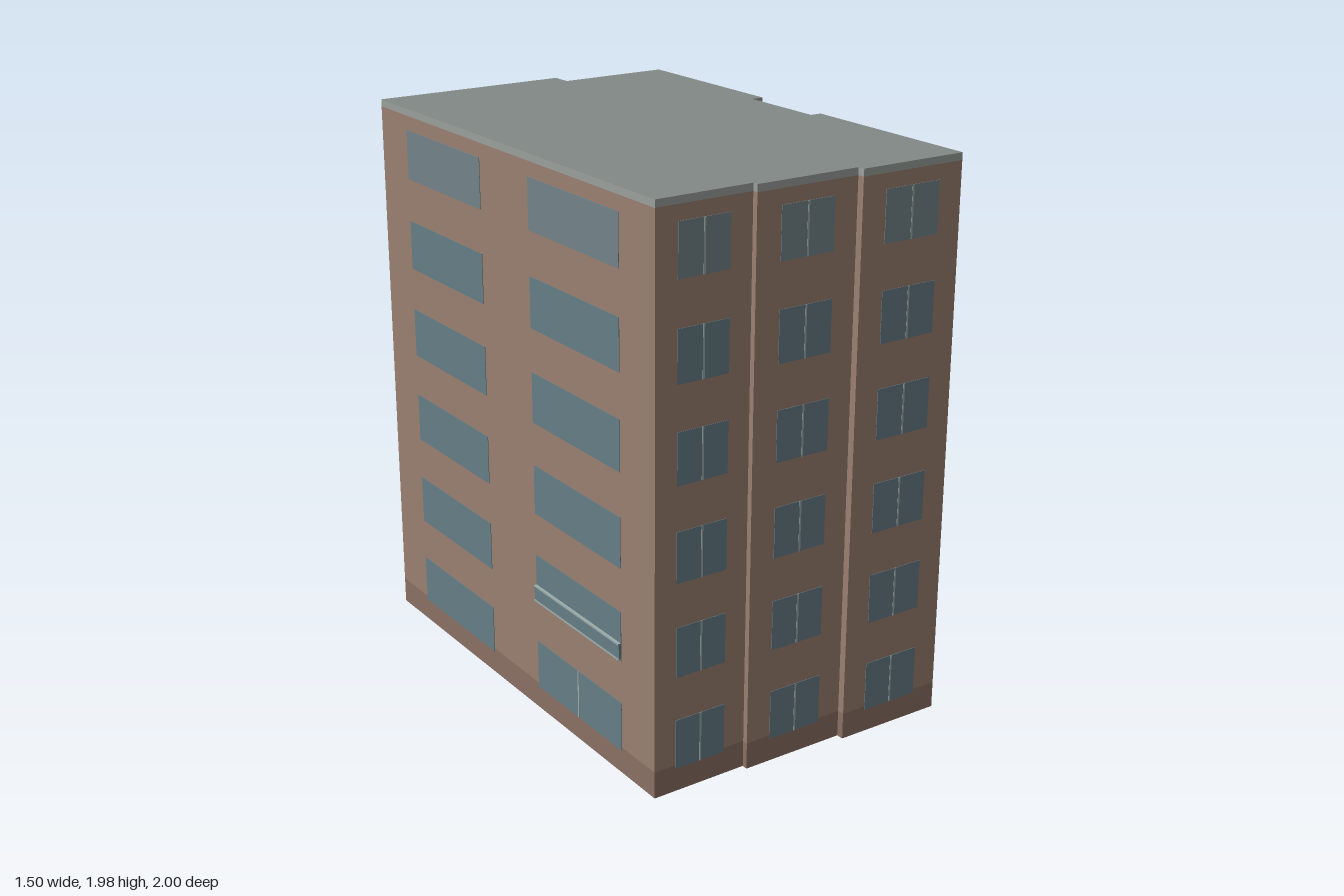
import * as THREE from 'three';

const mat = (color) => new THREE.MeshStandardMaterial({ color });
const M = {
  wall: mat(0x9a7f70), plinth: mat(0x8a6f62), trim: mat(0x9aa09c), roof: mat(0x828986),
  glass: mat(0x667d86), topGlass: mat(0x738489), frame: mat(0x9cacaa),
};

// Footprint corners as [x, z]: front, right, back, then left side
const P = [
  [-0.75, 0.69], [-0.405, 0.77], [-0.41, 0.79], [-0.035, 0.88], [-0.04, 0.905],
  [0.35, 1.0], [0.515, 0.305], [0.475, 0.295], [0.55, -0.03], [0.595, -0.02],
  [0.745, -0.66], [0.34, -0.755], [0.357, -0.83], [-0.35, -1.0],
];
const FLOORS = 6, PITCH = 0.329, SILL = 0.083, WIN_H = 0.176;

// Horizontal slice of the building between two heights
function slab(name, y0, y1, side, cap = side) {
  const shape = new THREE.Shape(P.map(([x, z]) => new THREE.Vector2(x, -z)));
  const geo = new THREE.ExtrudeGeometry(shape, { depth: y1 - y0, bevelEnabled: false });
  geo.rotateX(-Math.PI / 2).translate(0, y0, 0);
  const mesh = new THREE.Mesh(geo, [cap, side]);
  mesh.name = name;
  return mesh;
}

// Group on wall i: local x runs along the wall, y up, z outward
function wallFrame(i, name) {
  const a = P[i], b = P[(i + 1) % P.length];
  const dx = b[0] - a[0], dz = b[1] - a[1];
  const g = new THREE.Group();
  g.name = name;
  g.position.set(a[0], 0, a[1]);
  g.rotation.y = Math.atan2(-dz, dx);
  g.userData.length = Math.hypot(dx, dz);
  return g;
}

function box(parent, name, w, h, d, x, y, z, material) {
  const m = new THREE.Mesh(new THREE.BoxGeometry(w, h, d), material);
  m.name = name;
  m.position.set(x, y, z);
  parent.add(m);
}

// Column of windows between fractions t0 and t1 of the wall
function windowColumn(wall, t0, t1, mullionFloors, railFloor = -1) {
  const L = wall.userData.length, w = (t1 - t0) * L, x = (t0 + t1) / 2 * L;
  for (let f = 0; f < FLOORS; f++) {
    const y = SILL + f * PITCH + WIN_H / 2;
    box(wall, 'windowPane', w, WIN_H, 0.004, x, y, 0, f === FLOORS - 1 ? M.topGlass : M.glass);
    if (f < mullionFloors) box(wall, 'mullion', 0.007, WIN_H, 0.006, x, y, 0, M.frame);
    if (f === railFloor) {
      // Shallow glazed balcony rail
      const y0 = SILL + f * PITCH + 0.005;
      box(wall, 'railPanel', w, 0.056, 0.01, x, y0 + 0.03, 0.005, M.glass);
      for (const dy of [0.003, 0.057]) box(wall, 'railBar', w, 0.006, 0.012, x, y0 + dy, 0.006, M.frame);
    }
  }
}

export function createModel() {
  const group = new THREE.Group();
  group.name = 'apartmentBlock';
  group.add(
    slab('plinth', 0, 0.095, M.plinth, M.wall),
    slab('walls', 0.095, 1.955, M.wall),
    slab('roof', 1.955, 1.98, M.trim, M.roof),
  );

  // Wall index, name, window columns [start, end, floors with mullion, rail floor]
  const walls = [
    [0, 'frontWallLeft', [[0.23, 0.77, 6]]],
    [2, 'frontWallMiddle', [[0.24, 0.77, 6]]],
    [4, 'frontWallRight', [[0.23, 0.77, 6]]],
    [5, 'sideWallFront', [[0.216, 0.77, 6]]],
    [7, 'sideWallMiddle', [[0.215, 0.755, 6]]],
    [9, 'sideWallRear', [[0.22, 0.766, 6]]],
    [10, 'backWallNarrow', [[0.23, 0.77, 6]]],
    [12, 'backWallWide', [[0.14, 0.415, 0, 1], [0.585, 0.855, 1]]],
    [13, 'longWall', [[0.11, 0.407, 0], [0.587, 0.89, 1, 1]]],
  ];
  for (const [i, name, columns] of walls) {
    const wall = wallFrame(i, name);
    for (const c of columns) windowColumn(wall, ...c);
    group.add(wall);
  }
  return group;
}
